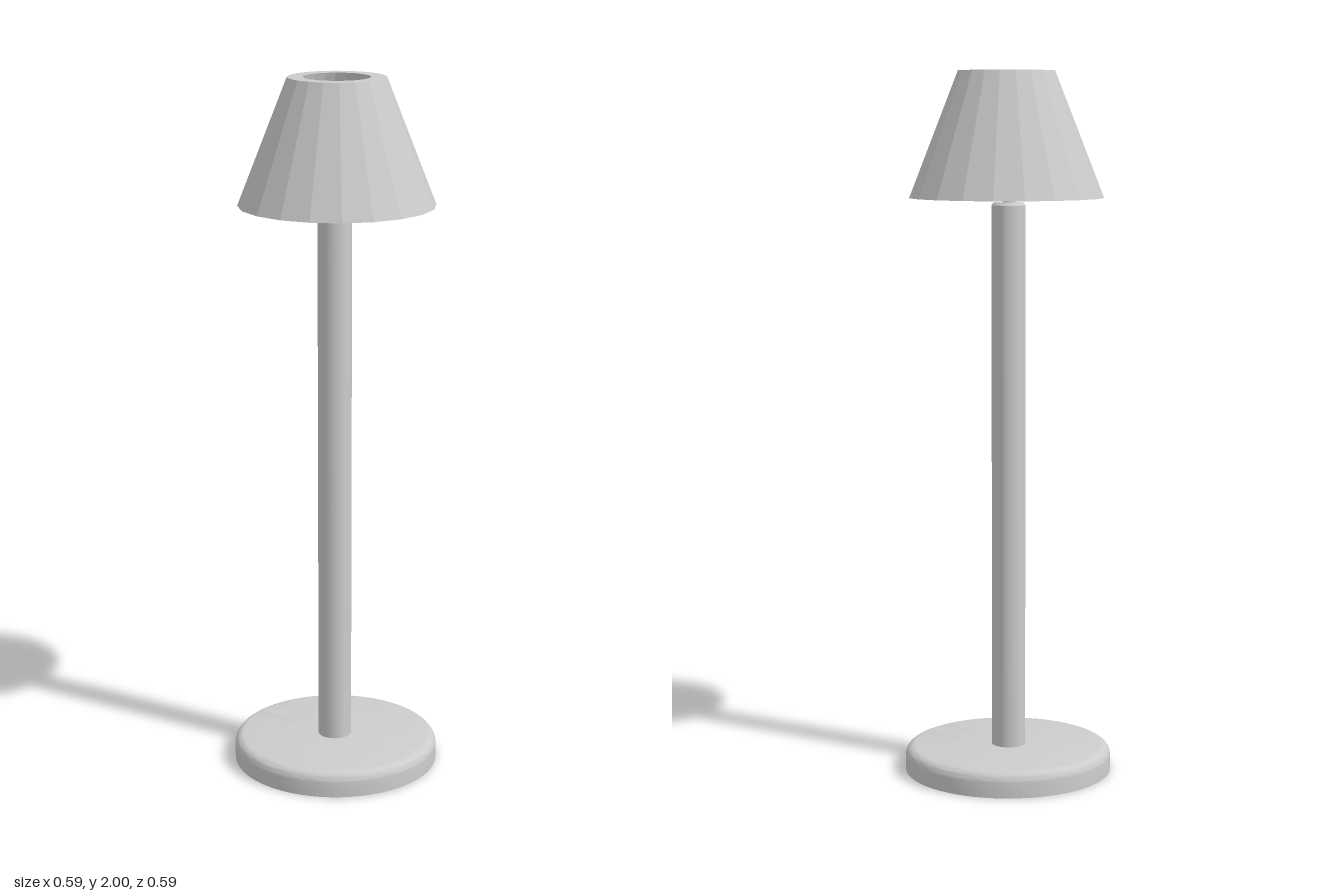
import * as THREE from 'three';
import { toCreasedNormals } from 'three/addons/utils/BufferGeometryUtils.js';

export function createModel() {
  const lamp = new THREE.Group();
  lamp.name = 'tableLamp';

  const grey = new THREE.MeshStandardMaterial({ color: 0xcccccc });
  grey.name = 'light grey';
  const facetedGrey = grey.clone();
  facetedGrey.flatShading = true;

  const add = (name, geometry, material, x = 0, y = 0, z = 0) => {
    const mesh = new THREE.Mesh(geometry, material);
    mesh.name = name;
    mesh.position.set(x, y, z);
    lamp.add(mesh);
    return mesh;
  };

  // Revolves [radius, height] pairs, listed from the bottom upward on the outside
  const turned = (profile, sides, phase = 0) =>
    new THREE.LatheGeometry(profile.map(([r, y]) => new THREE.Vector2(r, y)), sides, phase);

  // Round foot with a softened upper rim
  const rim = [];
  for (let i = 0; i <= 6; i++) {
    const a = (i / 6) * Math.PI / 2;
    rim.push([0.268 + 0.028 * Math.cos(a), 0.044 + 0.028 * Math.sin(a)]);
  }
  add('base', toCreasedNormals(turned([[0, 0], [0.296, 0], ...rim, [0, 0.072]], 64), 0.6), grey);

  // Straight pole with a slightly eased top edge
  const pole = [[0.048, 0.06], [0.048, 1.627], [0.041, 1.635], [0, 1.635]];
  add('pole', toCreasedNormals(turned(pole, 32), 0.6), grey, -0.003);

  // Thin stem joining the pole to the crossbar
  add('stem', new THREE.CylinderGeometry(0.018, 0.018, 0.11, 20), grey, -0.003, 1.68, -0.002);

  // Crossbar that carries the shade, and the bulb above it
  add('crossbar', new THREE.BoxGeometry(0.34, 0.025, 0.048), grey, -0.002, 1.725, -0.002);
  add('bulb', new THREE.SphereGeometry(0.051, 32, 20), grey, -0.002, 1.785, -0.002);

  // Thick faceted conical shade, open at both ends, with flats facing each axis
  const sides = 20;
  const k = 1 / Math.cos(Math.PI / sides);
  const wall = [[0.186, 1.648], [0.272, 1.648], [0.135, 2], [0.092, 2], [0.186, 1.648]];
  add('shade', turned(wall.map(([r, y]) => [r * k, y]), sides, Math.PI / sides),
    facetedGrey, -0.002, 0, 0.007);

  return lamp;
}
